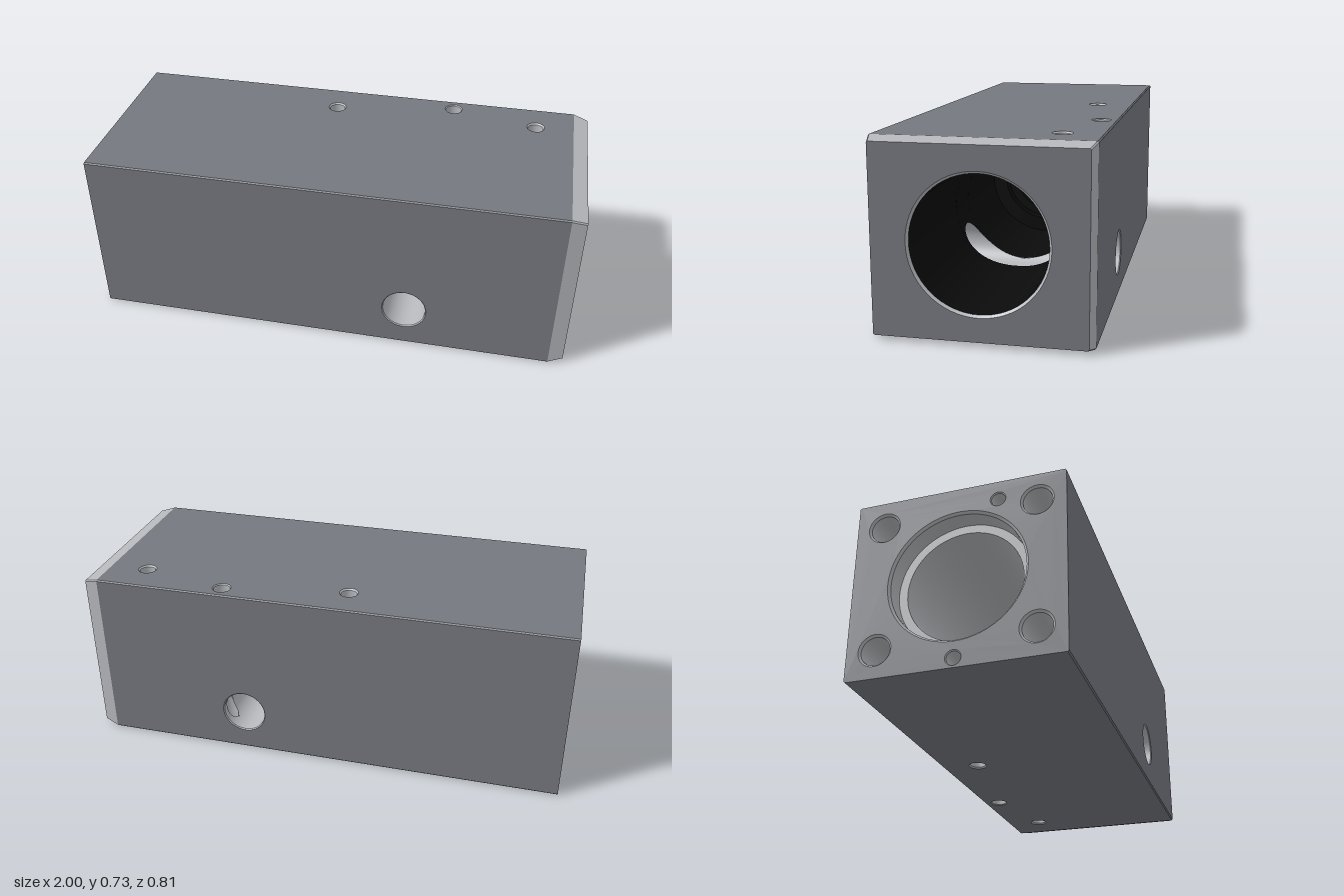
import * as THREE from 'three';
import { ParametricGeometry } from 'three/addons/geometries/ParametricGeometry.js';

const L = 1, H = 0.73, D = 0.405;              // half length, height, half depth
const CH = 0.06, IN = 0.016, E = 0.005;        // right end chamfer length and inset, long edge bevel
const AXIS = H / 2, BORE = 0.25;               // main bore
const CX = 0.33, CY = 0.18, CR = 0.089;        // cross hole
const PX = 0.418, PZ = -0.34, PR = 0.034;      // vertical through hole
const RIM = 0.004;                             // countersink of the through holes

const paint = color => new THREE.MeshStandardMaterial({ color, side: THREE.DoubleSide });
const body = paint(0x75787f);
const metal = paint(0xb5b7bb);
const black = paint(0x0b0b0b);

export function createModel() {
  const model = new THREE.Group();

  const add = (name, geometry, material, parent = model) => {
    const mesh = new THREE.Mesh(geometry, material);
    mesh.name = name;
    parent.add(mesh);
  };
  const sheet = (name, f, nu, nv, material) =>
    add(name, new ParametricGeometry((u, v, t) => t.set(...f(u, v)), nu, nv), material);
  const lathe = (name, points, material, parent) =>
    add(name, new THREE.LatheGeometry(points.map(p => new THREE.Vector2(...p)), 64), material, parent);

  // Rectangle outline with its corners cut by c
  const octagon = (x0, y0, x1, y1, c) => [
    [x0 + c, y0], [x1 - c, y0], [x1, y0 + c], [x1, y1 - c],
    [x1 - c, y1], [x0 + c, y1], [x0, y1 - c], [x0, y0 + c]];

  // Flat wall in local xy facing +z; holes are [x, y, rim radius, radius, depth, floor material],
  // those without a depth are left open behind their rim
  function wall(name, outline, holes, position, rotation) {
    const group = new THREE.Group();
    group.name = name;
    group.position.set(...position);
    group.rotation.set(...rotation);
    const shape = new THREE.Shape(outline.map(p => new THREE.Vector2(...p)));
    for (const [x, y, ro, ri, depth, floor] of holes) {
      shape.holes.push(new THREE.Path().absarc(x, y, ro, 0, Math.PI * 2, true));
      const hole = new THREE.Group();
      hole.name = 'hole';
      hole.position.set(x, y, 0);
      hole.rotation.x = Math.PI / 2;
      lathe('holeRim', [[ro, 0], [ri, ri - ro]], metal, hole);
      if (depth) {
        lathe('holeWall', [[ri, ri - ro], [ri, -depth]], metal, hole);
        lathe('holeFloor', [[ri, -depth], [0, -depth]], floor, hole);
      }
      group.add(hole);
    }
    add(name + 'Panel', new THREE.ShapeGeometry(shape, 32), body, group);
    model.add(group);
  }

  // Long walls
  const xe = L - CH, q = Math.PI / 2;
  wall('frontWall', octagon(-L, E, xe, H - E, 0), [[CX, CY, CR + RIM, CR]], [0, 0, D], [0, 0, 0]);
  wall('backWall', octagon(-xe, E, L, H - E, 0), [[-CX, CY, CR + RIM, CR]], [0, 0, -D], [0, Math.PI, 0]);
  const ports = s => [[PX, -s * PZ, PR + RIM, PR],
    ...[-0.09, 0.78].map(x => [x, s * 0.254, 0.038, 0.032, 0.24, black])];
  const flat = octagon(-L, E - D, xe, D - E, 0);
  wall('topWall', flat, ports(1), [0, H, 0], [-q, 0, 0]);
  wall('bottomWall', flat, ports(-1), [0, 0, 0], [q, 0, 0]);

  // End walls: mounting holes at the left end, open bore at the right end
  const mounts = [[0.148, 0.655, 0.03, 0.026, 0.1, metal], [0, 0.038, 0.03, 0.026, 0.1, metal]];
  for (const z of [-0.296, 0.296])
    for (const y of [AXIS - 0.255, AXIS + 0.255]) mounts.push([z, y, 0.063, 0.055, 0.25, metal]);
  const outer = octagon(-D, 0, D, H, E), inner = octagon(-D + IN, IN, D - IN, H - IN, E);
  wall('leftEnd', outer, [[0, AXIS, 0.265, 0.256], ...mounts], [-L, 0, 0], [0, -q, 0]);
  wall('rightEnd', inner, [[0, AXIS, 0.259, BORE]], [L, 0, 0], [0, q, 0]);

  // Chamfers around the right end and bevels along the four long edges
  outer.forEach((a, i) => {
    const j = (i + 1) % 8, mix = THREE.MathUtils.lerp;
    const edge = (ring, u) => [mix(ring[i][0], ring[j][0], u), mix(ring[i][1], ring[j][1], u)];
    sheet('endChamfer', (u, v) => {
      const [z0, y0] = edge(outer, u), [z1, y1] = edge(inner, u);
      return [xe + CH * v, mix(y0, y1, v), mix(z0, z1, v)];
    }, 1, 1, metal);
    if (i % 2) sheet('edgeBevel', (u, v) => {
      const [z, y] = edge(outer, u);
      return [mix(-L, xe, v), y, z];
    }, 1, 1, body);
  });

  // Stepped bore along x, each step its own ring so edges stay sharp
  const bore = new THREE.Group();
  bore.name = 'bore';
  bore.position.y = AXIS;
  bore.rotation.z = -q;
  model.add(bore);
  const rings = (name, profile, material) => {
    for (let i = 0; i + 1 < profile.length; i++) lathe(name, [profile[i], profile[i + 1]], material, bore);
  };
  rings('leftBore', [[0.256, -0.991], [0.256, -0.92], [0.223, -0.92], [0.223, -0.3], [0.153, -0.3]], metal);
  rings('boreNeck', [[0.153, -0.3], [0.153, -0.25], [0.19, -0.25], [0.19, -0.2], [BORE, -0.2], [BORE, CX - CR]], black);
  rings('rightBore', [[BORE, CX + CR], [BORE, 0.991]], black);

  // Bore wall where the cross hole breaks through; angles run from straight down
  const angle = y => Math.acos(Math.min(1, (AXIS - y) / BORE));
  const cut = (x, t) => [x, AXIS - BORE * Math.cos(t), BORE * Math.sin(t)];
  const station = u => [CX - CR * Math.cos(Math.PI * u), CR * Math.sin(Math.PI * u)];
  sheet('boreCutUpper', (u, v) => {
    const [x, h] = station(u), a = angle(CY + h);
    return cut(x, a + (2 * Math.PI - 2 * a) * v);
  }, 24, 64, black);
  sheet('boreCutLower', (u, v) => {
    const [x, h] = station(u), a = angle(CY - h);
    return cut(x, a * (2 * v - 1));
  }, 48, 16, black);

  // Cross hole walls, trimmed by the bore and by the vertical hole
  const tube = (name, from, to) => sheet(name, (u, v) => {
    const t = u * 2 * Math.PI, x = CX + CR * Math.cos(t), y = CY + CR * Math.sin(t);
    return [x, y, THREE.MathUtils.lerp(from(x, y), to(x, y), v)];
  }, 96, 4, metal);
  const boreZ = (x, y) => Math.sqrt(Math.max(0, BORE ** 2 - (y - AXIS) ** 2));
  const gap = x => Math.sqrt(Math.max(0, PR ** 2 - (x - PX) ** 2));
  tube('crossHoleFront', () => D - RIM, boreZ);
  tube('crossHoleBackOuter', () => RIM - D, x => PZ - gap(x));
  tube('crossHoleBackInner', x => PZ + gap(x), (x, y) => -boreZ(x, y));

  // Vertical through hole, open where it meets the cross hole
  for (const s of [1, -1]) {
    sheet('verticalHole', (u, v) => {
      const t = u * 2 * Math.PI, x = PX + PR * Math.cos(t);
      const end = CY + s * Math.sqrt(Math.max(0, CR ** 2 - (x - CX) ** 2));
      const start = s > 0 ? H - RIM : RIM;
      return [x, THREE.MathUtils.lerp(start, end, v), PZ + PR * Math.sin(t)];
    }, 48, 4, metal);
  }
  return model;
}
